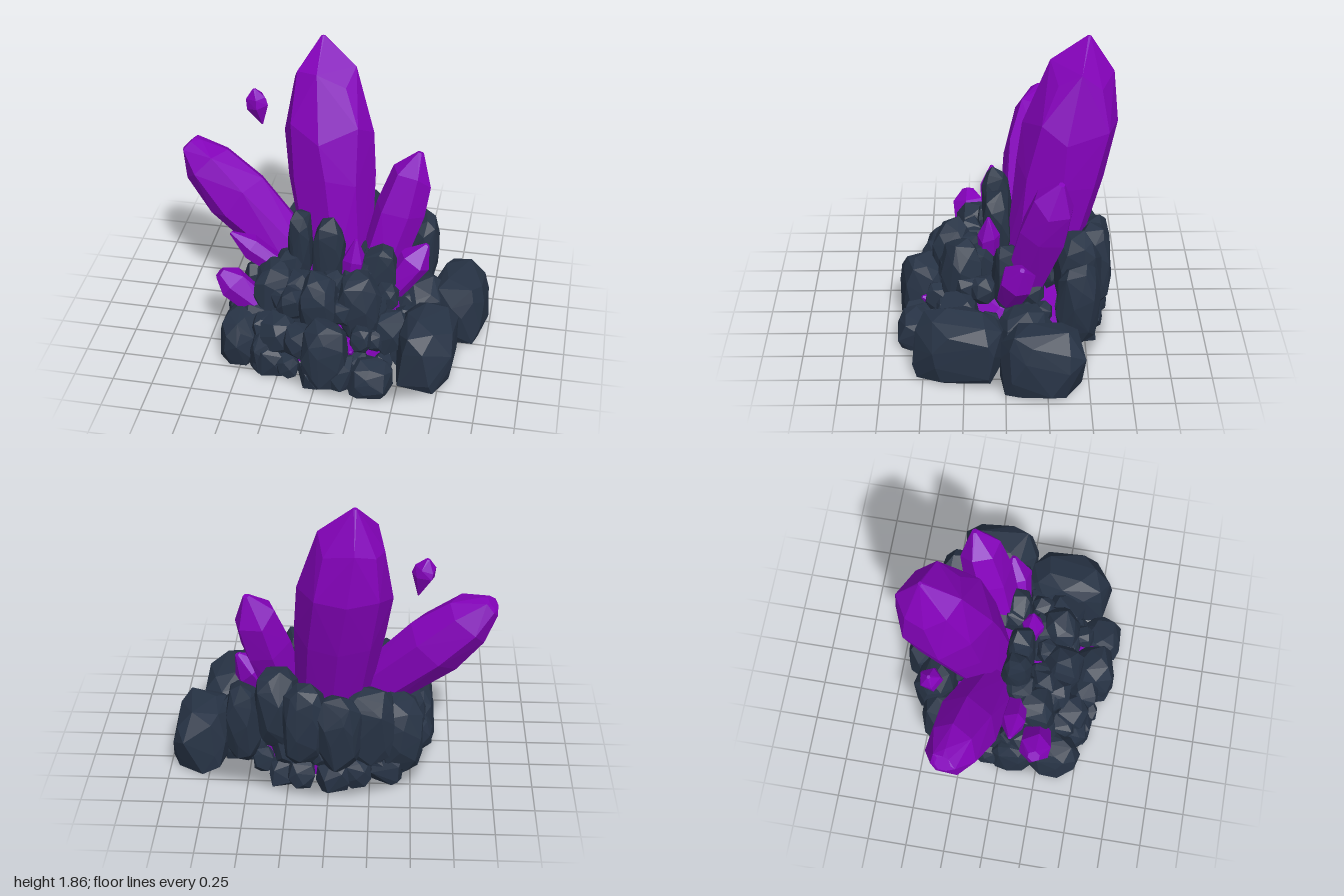
import * as THREE from 'three';
import { ConvexGeometry } from 'three/addons/geometries/ConvexGeometry.js';

const mat = (name, color) => {
  const m = new THREE.MeshStandardMaterial({ color });
  m.name = name;
  return m;
};

export function createModel() {
  const group = new THREE.Group();
  const rockMat = mat('slate rock', 0x273345);
  const crystalMat = mat('purple crystal', 0x8402ba);
  const baseMat = mat('dark underside', 0x3a3250);

  let seed = 11;
  const rnd = () => {
    seed = (seed * 16807) % 2147483647;
    return seed / 2147483647;
  };
  const jit = (a) => (rnd() - 0.5) * 2 * a;
  const add = (name, geo, material) => {
    const mesh = new THREE.Mesh(geo, material);
    mesh.name = name;
    group.add(mesh);
  };

  // Boxy faceted boulder, cut flat at the ground
  function boulder(name, x, y, z, rx, ry, rz, material = rockMat, n = 40) {
    const pts = [];
    const spin = rnd() * 6.28;
    const box = (v) => Math.sign(v) * Math.pow(Math.abs(v), 0.75);
    for (let i = 0; i < n; i++) {
      const h = 1 - (2 * (i + 0.5)) / n;
      const r = Math.sqrt(1 - h * h);
      const a = i * 2.4 + spin + jit(0.35);
      const s = 0.97 + jit(0.08);
      pts.push(new THREE.Vector3(
        x + rx * s * box(r * Math.cos(a)),
        Math.max(0.004, y + ry * s * box(h)),
        z + rz * s * box(r * Math.sin(a))));
    }
    add(name, new ConvexGeometry(pts), material);
  }

  // Crystal: rings of [position along axis, radius] hulled from base to tip
  function crystal(name, base, tip, profile, sides = 6) {
    const a = new THREE.Vector3(...base);
    const axis = new THREE.Vector3(...tip).sub(a);
    const len = axis.length();
    const q = new THREE.Quaternion().setFromUnitVectors(
      new THREE.Vector3(0, 1, 0), axis.normalize());
    const pts = [];
    const spin = rnd() * 6.28;
    profile.forEach(([t, r]) => {
      for (let i = 0; i < sides; i++) {
        const ang = spin + (i / sides) * Math.PI * 2 + jit(0.12);
        const up = t + (t > 0 && t < 1 ? jit(0.045) : 0);
        pts.push(new THREE.Vector3(r * Math.cos(ang), up * len, r * Math.sin(ang))
          .applyQuaternion(q).add(a));
      }
    });
    add(name, new ConvexGeometry(pts), crystalMat);
  }
  const smallCrystal = (base, tip, r) => crystal('smallCrystal', base, tip,
    [[0, r * 0.8], [0.65, r], [1, r * 0.15]]);

  // Large crystals
  crystal('mainCrystal', [0, 0.4, -0.22], [-0.15, 1.86, -0.51],
    [[0, 0.22], [0.42, 0.277], [0.63, 0.288], [0.83, 0.2], [1, 0.012]], 8);
  crystal('leaningCrystal', [-0.25, 0.47, -0.12], [-0.97, 1.15, -0.26],
    [[0, 0.16], [0.55, 0.205], [0.8, 0.165], [0.96, 0.08], [1, 0.05]], 7);
  crystal('sideCrystal', [0.29, 0.45, -0.13], [0.5, 1.2, -0.33],
    [[0, 0.14], [0.5, 0.16], [0.8, 0.135], [1, 0.02]]);

  // Floating shard
  crystal('floatingShard', [-0.52, 1.26, -0.39], [-0.57, 1.5, -0.4],
    [[0, 0.005], [0.55, 0.072], [0.75, 0.064], [1, 0.012]], 5);

  // Small crystals standing clear of the mound
  crystal('lowCrystal', [-0.38, 0.26, 0.22], [-0.67, 0.53, 0.24],
    [[0, 0.09], [0.75, 0.105], [1, 0.04]]);
  smallCrystal([-0.28, 0.48, 0.08], [-0.63, 0.73, 0.08], 0.08);
  smallCrystal([0.38, 0.36, -0.03], [0.59, 0.67, -0.1], 0.11);
  smallCrystal([0.13, 0.4, 0.1], [0.17, 0.79, 0.1], 0.07);

  // Shards poking out of the front of the mound, low and high by turns
  for (let i = 0; i < 12; i++) {
    const a = 0.2 + i * 0.24;
    const lift = i % 2 ? 0.85 : 0.42;
    const out = new THREE.Vector3(
      0.58 * Math.cos(a) * Math.cos(lift), 0.6 * Math.sin(lift),
      0.62 * Math.sin(a) * Math.cos(lift));
    smallCrystal(out.clone().multiplyScalar(0.55).toArray(), out.toArray(), 0.065);
  }

  // Crystal core glimpsed between the rocks
  boulder('crystalCore', 0, 0.02, -0.02, 0.47, 0.45, 0.44, crystalMat, 60);

  // Main boulders: x, z, half width, half depth, top
  const rocks = [
    // front and left
    [-0.52, 0.34, 0.14, 0.18, 0.36], [-0.32, 0.43, 0.13, 0.12, 0.28],
    [0.05, 0.52, 0.16, 0.15, 0.47], [0.33, 0.54, 0.15, 0.14, 0.22],
    [-0.55, 0.08, 0.11, 0.15, 0.34], [-0.42, -0.34, 0.16, 0.2, 0.57],
    // right
    [0.65, 0.28, 0.2, 0.3, 0.42], [0.81, -0.21, 0.19, 0.27, 0.42],
    [0.58, -0.12, 0.16, 0.2, 0.4], [0.52, -0.44, 0.12, 0.14, 0.67],
    // back wall
    [-0.25, -0.46, 0.17, 0.14, 0.66], [-0.06, -0.56, 0.15, 0.12, 0.67],
    [0.15, -0.55, 0.14, 0.12, 0.72], [0.32, -0.44, 0.14, 0.15, 0.78],
    // upper front
    [-0.32, 0.18, 0.14, 0.16, 0.64], [-0.02, 0.33, 0.13, 0.13, 0.67],
    [0.22, 0.27, 0.14, 0.14, 0.67], [-0.19, 0.05, 0.085, 0.1, 0.94],
    [-0.01, 0.05, 0.105, 0.1, 0.89], [0.3, -0.02, 0.13, 0.1, 0.69],
    [-0.16, 0.22, 0.11, 0.12, 0.6], [0.1, 0.17, 0.12, 0.11, 0.57],
  ];
  for (const [x, z, rx, rz, top] of rocks) {
    const ry = Math.min(top * 0.65, 0.27);
    boulder('boulder', x, top - ry, z, rx, ry, rz);
  }

  // Rubble rings filling the mound: height, ring radii, count, size
  for (const [y, ex, ez, count, size] of [
    [0.08, 0.56, 0.55, 24, 0.095], [0.25, 0.5, 0.5, 22, 0.095],
    [0.4, 0.4, 0.36, 16, 0.1], [0.5, 0.26, 0.22, 9, 0.09],
  ]) {
    for (let i = 0; i < count; i++) {
      const a = (i / count) * Math.PI * 2 + jit(0.12);
      const s = size * (1 + jit(0.35));
      boulder('rubble', ex * Math.cos(a), y + jit(0.04), ez * Math.sin(a),
        s, s * 1.2, s, rockMat, 20);
    }
  }

  // Flat underside, given as x and z of the outline
  const outline = [
    [-0.62, 0.05], [-0.63, 0.3], [-0.53, 0.49], [-0.25, 0.53], [0.05, 0.64], [0.35, 0.65],
    [0.66, 0.55], [0.8, 0.3], [0.83, 0.03], [0.95, -0.12], [0.95, -0.32], [0.78, -0.45],
    [0.5, -0.5], [0.2, -0.62], [-0.1, -0.63], [-0.35, -0.54], [-0.52, -0.42], [-0.58, -0.2],
  ].map(([x, z]) => new THREE.Vector2(x, z));
  const under = new THREE.ShapeGeometry(new THREE.Shape(outline));
  under.rotateX(Math.PI / 2);
  add('underside', under, baseMat);

  return group;
}
